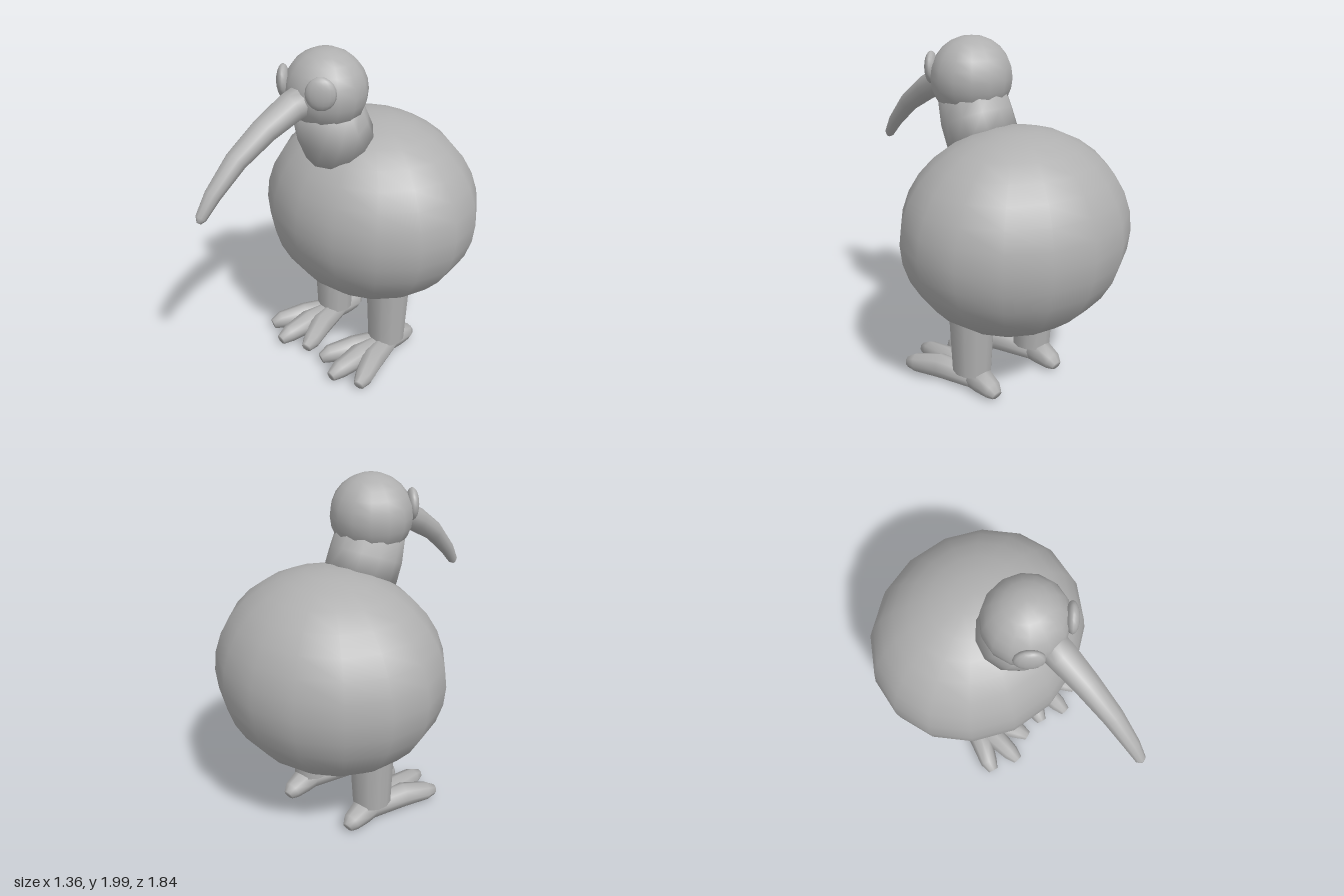
import * as THREE from 'three';

const grey = new THREE.MeshStandardMaterial({ color: 0xb0b0b0 });
grey.name = 'plain grey';

function add(parent, name, geometry) {
  const mesh = new THREE.Mesh(geometry, grey);
  mesh.name = name;
  parent.add(mesh);
  return mesh;
}

function ellipsoid(parent, name, [x, y, z], [rx, ry, rz], w, h) {
  const mesh = add(parent, name, new THREE.SphereGeometry(1, w, h));
  mesh.position.set(x, y, z);
  mesh.scale.set(rx, ry, rz);
  return mesh;
}

// Closed limb swept through stations [x, y, z, radius]
function limb(stations, sides) {
  const pts = stations.map(([x, y, z]) => new THREE.Vector3(x, y, z));
  const n = pts.length;
  const pos = [];
  const index = [];
  pts.forEach((p, i) => {
    const t = pts[Math.min(i + 1, n - 1)].clone().sub(pts[Math.max(i - 1, 0)]).normalize();
    const side = new THREE.Vector3(0, 1, 0).cross(t).normalize();
    const up = t.clone().cross(side);
    for (let j = 0; j < sides; j++) {
      const a = (j / sides) * Math.PI * 2;
      const r = stations[i][3];
      const v = p.clone().addScaledVector(side, r * Math.cos(a)).addScaledVector(up, r * Math.sin(a));
      pos.push(v.x, v.y, v.z);
    }
  });
  for (let i = 0; i < n - 1; i++) {
    for (let j = 0; j < sides; j++) {
      const a = i * sides + j;
      const b = i * sides + ((j + 1) % sides);
      index.push(a, b, b + sides, a, b + sides, a + sides);
    }
  }
  // End caps
  const first = n * sides;
  const last = first + 1;
  const end = (n - 1) * sides;
  pos.push(...pts[0].toArray(), ...pts[n - 1].toArray());
  for (let j = 0; j < sides; j++) {
    const k = (j + 1) % sides;
    index.push(first, k, j, last, end + j, end + k);
  }
  const g = new THREE.BufferGeometry();
  g.setAttribute('position', new THREE.Float32BufferAttribute(pos, 3));
  g.setIndex(index);
  g.computeVertexNormals();
  return g;
}

export function createModel() {
  const bird = new THREE.Group();
  bird.name = 'bird';
  const mid = 0.008; // centre line of head and legs

  // Round body
  ellipsoid(bird, 'body', [0, 0.965, -0.32], [0.682, 0.585, 0.602], 16, 16);

  // Neck leaning forward into the head
  add(bird, 'neck', limb([
    [mid, 1.415, -0.06, 0.21],
    [mid, 1.55, 0.005, 0.209],
    [mid, 1.7, 0.06, 0.192],
  ], 12));

  ellipsoid(bird, 'head', [mid, 1.772, 0.052], [0.236, 0.229, 0.229], 14, 12);

  // Long down-curved beak
  add(bird, 'beak', limb([
    [mid, 1.76, 0.18, 0.09],
    [mid, 1.725, 0.3, 0.086],
    [mid, 1.645, 0.475, 0.073],
    [mid, 1.53, 0.66, 0.06],
    [mid, 1.385, 0.815, 0.045],
    [mid, 1.285, 0.893, 0.031],
    [mid, 1.262, 0.907, 0.013],
  ], 10));

  for (const [s, label] of [[1, 'left'], [-1, 'right']]) {
    // Flat disc-like eye turned outward
    const eye = ellipsoid(bird, label + 'Eye', [mid + s * 0.153, 1.82, 0.222], [0.083, 0.09, 0.037], 14, 10);
    eye.rotation.y = s * 0.76;

    // Leg
    const leg = add(bird, label + 'Leg', new THREE.CylinderGeometry(0.135, 0.114, 0.42, 12));
    leg.position.set(mid + s * 0.242, 0.335, -0.235);

    // Foot: three front toes and one back toe
    const foot = new THREE.Group();
    foot.name = label + 'Foot';
    foot.position.set(mid + s * 0.242, 0, -0.22);
    bird.add(foot);
    const toes = [
      ['middleToe', 0, 0.455],
      ['outerToe', s * 0.17, 0.385],
      ['innerToe', -s * 0.17, 0.385],
      ['backToe', 0, -0.235],
    ];
    for (const [name, dx, dz] of toes) {
      add(foot, name, limb([
        [0, 0.08, -dz * 0.1, 0.07],
        [dx * 0.48, 0.084, dz * 0.48, 0.074],
        [dx * 0.9, 0.066, dz * 0.85, 0.056],
        [dx, 0.05, dz, 0.033],
      ], 8));
    }
  }
  return bird;
}
